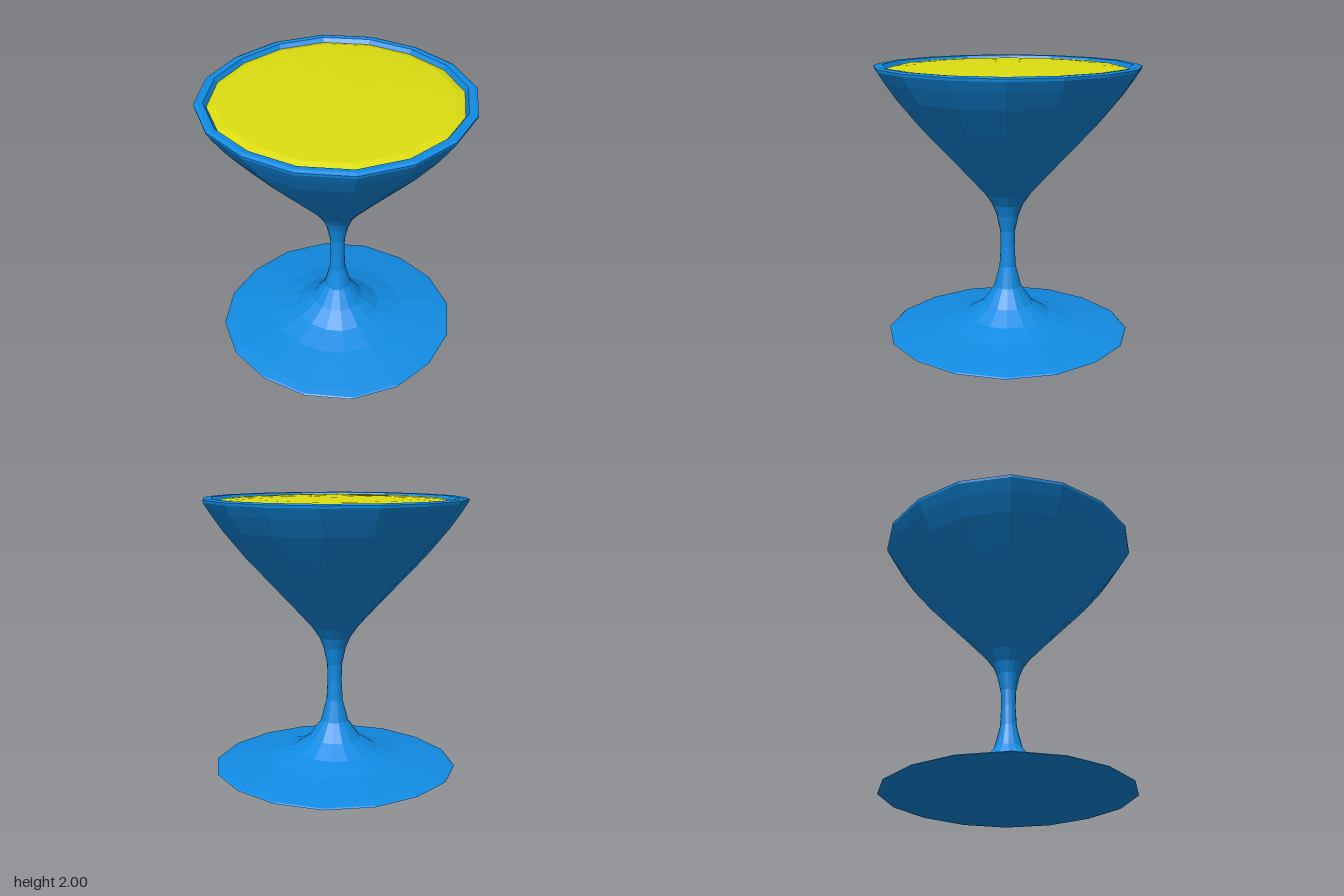
import * as THREE from 'three';

const SIDES = 16;

// Sixteen-sided turned form, bulging slightly on the diagonals
function turned(name, profile, color) {
  const points = profile.map(([r, y]) => new THREE.Vector2(r, y));
  const geometry = new THREE.LatheGeometry(points, SIDES);
  const pos = geometry.attributes.position;
  for (let i = 0; i < pos.count; i++) {
    const x = pos.getX(i), z = pos.getZ(i);
    const bulge = 1 + 0.023 * Math.sin(2 * Math.atan2(x, z)) ** 2;
    pos.setX(i, x * bulge);
    pos.setZ(i, z * bulge);
  }
  const material = new THREE.MeshStandardMaterial({ color, flatShading: true });
  const mesh = new THREE.Mesh(geometry, material);
  mesh.name = name;
  return mesh;
}

export function createModel() {
  const group = new THREE.Group();
  group.name = 'cocktailGlass';

  // Foot, stem and bowl in one profile, from underside centre to bowl interior
  group.add(turned('glass', [
    // foot
    [0, 0], [0.45, 0.01], [0.72, 0.025], [0.83, 0.04], [0.86, 0.05],
    [0.85, 0.058], [0.79, 0.07], [0.66, 0.09], [0.485, 0.117], [0.312, 0.168], [0.185, 0.254],
    // stem
    [0.097, 0.38], [0.058, 0.534], [0.05, 0.68], [0.053, 0.8], [0.078, 0.92],
    // bowl outside
    [0.11, 1.0], [0.165, 1.08], [0.29, 1.22], [0.46, 1.405], [0.63, 1.59],
    [0.783, 1.78], [0.862, 1.895], [0.905, 1.965],
    // rim
    [0.908, 1.983], [0.885, 1.993], [0.848, 1.99],
    // bowl inside
    [0.825, 1.955], [0.72, 1.79], [0.44, 1.45], [0.12, 1.13], [0, 1.08],
  ], 0x118ce4));

  // Gently domed drink filling the bowl
  group.add(turned('drink', [
    [0.828, 1.96], [0.77, 1.978], [0.62, 1.988], [0.4, 1.995], [0.17, 2.0], [0, 2.0],
  ], 0xdddd11));

  return group;
}
